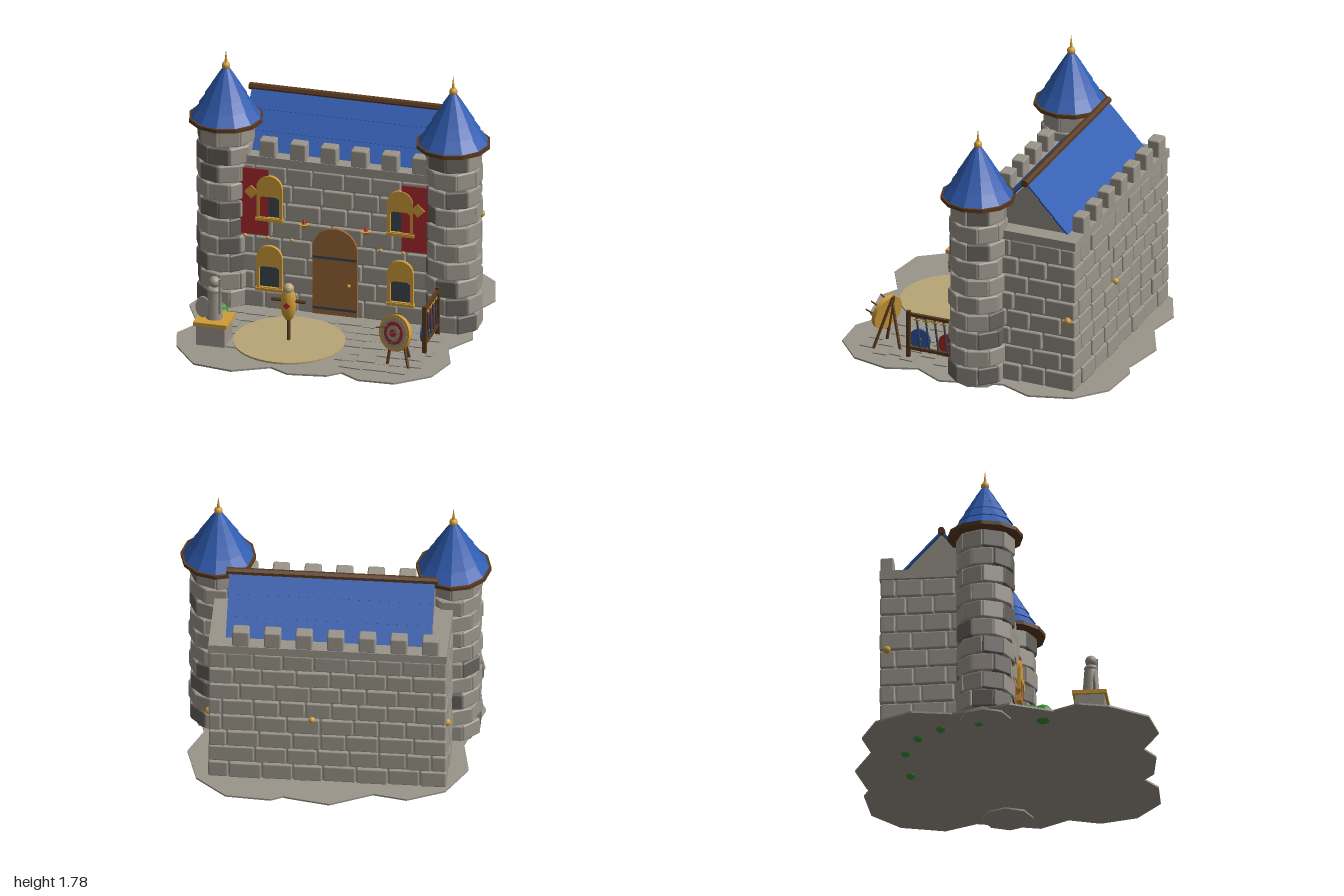
import * as THREE from 'three';
import { mergeGeometries } from 'three/addons/utils/BufferGeometryUtils.js';
import { RoundedBoxGeometry } from 'three/addons/geometries/RoundedBoxGeometry.js';

const mat = (name, color, flatShading = false) => {
  const m = new THREE.MeshStandardMaterial({ color, flatShading });
  m.name = name;
  return m;
};

export function createModel() {
  const stone = mat('stone', 0x9b958b), darkStone = mat('dark stone', 0x66625d);
  const blue = mat('roof blue', 0x2f5cb0, true), timber = mat('dark timber', 0x5a3a1e, true);
  const oak = mat('oak', 0x9c6636), gold = mat('gold', 0xcf9c38), red = mat('red', 0xae2a2d);
  const sand = mat('sand', 0xb8a676), green = mat('leaf green', 0x3c8a36, true), iron = mat('iron', 0x3d464e);

  const root = new THREE.Group();
  root.name = 'castle';
  let seed = 7;
  const rnd = () => (seed = (seed * 16807) % 2147483647) / 2147483647;
  const jit = (a) => (rnd() - 0.5) * 2 * a;

  const add = (name, geo, m, x = 0, y = 0, z = 0, parent = root) => {
    const mesh = new THREE.Mesh(geo, m);
    mesh.name = name;
    mesh.position.set(x, y, z);
    parent.add(mesh);
    return mesh;
  };
  const group = (name, x = 0, y = 0, z = 0) => {
    const g = new THREE.Group();
    g.name = name;
    g.position.set(x, y, z);
    root.add(g);
    return g;
  };
  const box = (w, h, d) => new THREE.BoxGeometry(w, h, d);
  const ball = (r) => new THREE.SphereGeometry(r, 14, 10);
  const rod = (name, a, b, r, m, parent = root) => {
    const p = new THREE.Vector3(...a), q = new THREE.Vector3(...b), d = q.clone().sub(p);
    const mesh = add(name, new THREE.CylinderGeometry(r, r, d.length(), 7), m, 0, 0, 0, parent);
    mesh.position.copy(p).add(q).multiplyScalar(0.5);
    mesh.quaternion.setFromUnitVectors(new THREE.Vector3(0, 1, 0), d.normalize());
    return mesh;
  };
  const extrude = (shape, depth) => new THREE.ExtrudeGeometry(shape, { depth, bevelEnabled: false, curveSegments: 10 });
  const arch = (w, h) => {
    const s = new THREE.Shape();
    s.moveTo(-w / 2, 0).lineTo(w / 2, 0).lineTo(w / 2, h - w / 2);
    s.absarc(0, h - w / 2, w / 2, 0, Math.PI, false);
    return s.lineTo(-w / 2, 0);
  };
  // Chamfered, slightly crooked block turned to face the given angle
  const block = (w, h, d, x, y, z, turn = 0) => new RoundedBoxGeometry(w, h, d, 1, 0.011)
    .rotateZ(jit(0.012)).rotateY(turn + jit(0.015)).translate(x, y, z);

  // Ground slab
  const outline = [[-0.03, -1], [-0.3, -0.87], [-0.52, -0.91], [-0.76, -0.8], [-0.89, -0.56], [-0.84, -0.3],
    [-0.95, 0.08], [-0.82, 0.35], [-0.91, 0.52], [-0.86, 0.71], [-0.68, 0.95], [-0.42, 0.99], [-0.19, 0.87],
    [-0.06, 0.94], [0.19, 0.9], [0.27, 0.83], [0.4, 0.91], [0.64, 0.9], [0.84, 0.73], [0.9, 0.49], [0.83, 0.29],
    [0.94, 0.1], [0.83, -0.3], [0.92, -0.51], [0.84, -0.79], [0.64, -0.96], [0.35, -0.98], [0.27, -0.94], [0.24, -0.95]];
  const slab = new THREE.Shape(outline.map(([x, z]) => new THREE.Vector2(x, -z)));
  add('ground', extrude(slab, 0.012).rotateX(-Math.PI / 2), stone, 0, 0.031, 0);

  // Courtyard paving and training circle
  const paving = [];
  for (let r = 0; r < 7; r++) {
    for (let x = -0.7 + (r % 2) * 0.07; x < 0.68;) {
      const w = 0.13 + rnd() * 0.05, cx = x + w / 2, z = 0.08 + r * 0.105;
      x += w;
      if (Math.hypot(cx + 0.18, z - 0.46) < 0.34 || (r > 5 && cx < 0.2) || cx > 0.7) continue;
      paving.push(box(w - 0.012, 0.014, 0.094).rotateY(jit(0.06)).translate(cx, 0.043, z + jit(0.008)));
    }
  }
  add('paving', mergeGeometries(paving), stone);
  add('sandCircle', new THREE.CylinderGeometry(0.36, 0.36, 0.014, 40), sand, -0.18, 0.048, 0.46);

  // Keep: core, stone courses, cap and battlements
  add('keepCore', box(1.48, 1.01, 0.73), stone, 0, 0.545, -0.385);
  const courses = [], ROW = 0.125;
  const wallRow = (from, to, row, place) => {
    for (let u = from, first = true; u < to - 0.01; first = false) {
      let w = first && row % 2 ? 0.1 : 0.16 + rnd() * 0.07;
      if (to - u - w < 0.08) w = to - u;
      courses.push(place(u + w / 2, w - 0.008, 0.04 + ROW * (row + 0.5), jit(0.004)));
      u += w;
    }
  };
  for (let r = 0; r < 8; r++) {
    const h = ROW - 0.008;
    wallRow(-0.64, 0.64, r, (u, w, y, j) => block(w, h, 0.05, u, y, -0.024 + j));
    wallRow(-0.765, 0.765, r, (u, w, y, j) => block(w, h, 0.05, u, y, -0.745 + j, Math.PI));
    for (const s of [-1, 1])
      wallRow(-0.77, -0.15, r + 1 - 1, (u, w, y, j) => block(w, h, 0.05, s * (0.738 + j), y, u, s * Math.PI / 2));
  }
  add('keepStones', mergeGeometries(courses), stone);
  add('wallCap', box(1.53, 0.06, 0.775), stone, 0, 1.07, -0.387);
  const merlons = [];
  for (let i = 0; i < 7; i++)
    for (const z of [-0.045, -0.73])
      merlons.push(block(0.108, 0.12, 0.085, -0.66 + i * 0.203, 1.155, z));
  add('battlements', mergeGeometries(merlons), stone);

  // Pitched roof in three overlapping courses per slope, with gables and ridge beam
  const slope = Math.atan2(0.32, 0.295);
  for (const s of [-1, 1]) {
    for (let i = 0; i < 3; i++) {
      const t = (i + 0.5) / 3;
      const p = add('roofCourse', box(1.32, 0.012, 0.152), blue, 0, 1.41 - 0.32 * t, -0.385 + s * 0.295 * t);
      p.rotation.x = s * (slope - 0.025);
    }
    const gable = new THREE.Shape([[-0.27, 0], [0.27, 0], [0, 0.29]].map((p) => new THREE.Vector2(...p)));
    add('gable', extrude(gable, 0.04).rotateY(Math.PI / 2), stone, s * 0.63 - 0.02, 1.1, -0.385);
  }
  rod('ridgeBeam', [-0.68, 1.41, -0.385], [0.68, 1.41, -0.385], 0.024, timber);

  // Towers
  for (const s of [-1, 1]) {
    const t = group(s > 0 ? 'leftTower' : 'rightTower', s * 0.755, 0, -0.095);
    add('towerCore', new THREE.CylinderGeometry(0.165, 0.165, 1.27, 8), stone, 0, 0.655, 0, t);
    const light = [], dark = [];
    for (let r = 0; r < 10; r++)
      for (let i = 0; i < 8; i++) {
        const a = (i + (r % 2) / 2) * Math.PI / 4, d = 0.148 + jit(0.005);
        (rnd() < 0.27 ? dark : light).push(
          block(0.143, ROW - 0.007, 0.06, Math.sin(a) * d, 0.04 + ROW * (r + 0.5), Math.cos(a) * d, a));
      }
    add('towerStones', mergeGeometries(light), stone, 0, 0, 0, t);
    add('towerDarkStones', mergeGeometries(dark), darkStone, 0, 0, 0, t);
    add('eaveRing', new THREE.CylinderGeometry(0.243, 0.243, 0.025, 12), timber, 0, 1.308, 0, t);
    const tiers = [[1.32, 0.228, 0.165], [1.395, 0.18, 0.125], [1.465, 0.14, 0.088], [1.53, 0.1, 0.05], [1.59, 0.064, 0.012]];
    for (const [y, low, high] of tiers)
      add('roofTier', new THREE.CylinderGeometry(high, low, 0.08, 12), blue, 0, y + 0.04, 0, t);
    add('finialBall', ball(0.027), gold, 0, 1.67, 0, t);
    add('finialSpike', new THREE.ConeGeometry(0.012, 0.1, 8), gold, 0, 1.732, 0, t);
  }

  // Door with straps and knob
  add('door', extrude(arch(0.295, 0.605), 0.022), oak, 0, 0.055, 0);
  for (const y of [0.1, 0.455]) add('doorStrap', box(0.295, 0.018, 0.006), iron, 0, y, 0.025);
  add('doorKnob', ball(0.012), gold, 0.095, 0.275, 0.03);

  // Windows, banners and wall lamps
  for (const s of [-1, 1]) {
    for (const y of [0.18, 0.67]) {
      const w = group('window', s * 0.435, y, 0);
      const frame = arch(0.17, 0.31);
      frame.holes.push(new THREE.Path([[-0.066, 0.02], [-0.066, 0.15], [-0.045, 0.165], [0.045, 0.165], [0.066, 0.15], [0.066, 0.02]]
        .map((p) => new THREE.Vector2(...p))));
      add('windowFrame', extrude(frame, 0.024), gold, 0, 0, 0.003, w);
      add('windowPane', box(0.15, 0.16, 0.006), iron, 0, 0.09, 0.007, w);
      add('windowSill', box(0.185, 0.02, 0.035), gold, 0, 0.005, 0.017, w);
    }
    add('banner', box(0.195, 0.46, 0.006), red, s * 0.54, 0.79, 0.015);
    add('bannerDiamond', box(0.066, 0.066, 0.008), gold, s * 0.553, 0.86, 0.027).rotation.z = Math.PI / 4;
    add('lampBowl', new THREE.CylinderGeometry(0.036, 0.015, 0.022, 8), gold, s * 0.205, 0.66, 0.015);
    add('lampFlame', new THREE.ConeGeometry(0.018, 0.045, 8), red, s * 0.205, 0.687, 0.015);
    add('sideRosette', new THREE.SphereGeometry(0.025, 8, 6), gold, s * 0.765, 0.54, -0.725);
  }
  for (const x of [-0.6, -0.45, -0.29, -0.13, 0.3, 0.45]) add('wallStud', ball(0.012), gold, x, 0.54, 0.003);
  add('backRosette', ball(0.022), gold, 0.1, 0.54, -0.772);

  // Training dummy
  const dummy = group('trainingDummy', -0.185, 0, 0.46);
  rod('dummyPost', [0, 0.035, 0], [0, 0.39, 0], 0.012, timber, dummy);
  rod('dummyArms', [-0.112, 0.33, 0], [0.112, 0.33, 0], 0.012, timber, dummy);
  add('dummyBody', ball(0.1).scale(0.52, 1.2, 0.46), gold, 0, 0.31, 0, dummy);
  add('dummyHead', ball(0.037), sand, 0, 0.413, 0, dummy);
  add('dummyMark', box(0.033, 0.033, 0.008), red, 0, 0.31, 0.046, dummy).rotation.z = Math.PI / 4;

  // Archery target on a three-legged stand
  const target = group('archeryTarget', 0.57, 0.265, 0.62);
  target.rotation.set(-0.22, -0.38, 0, 'YXZ');
  [[0.12, gold], [0.1, stone], [0.075, red], [0.05, stone], [0.025, red]].forEach(([r, m], i) => {
    const thick = i ? 0.004 : 0.03;
    add('targetRing', new THREE.CylinderGeometry(r, r, thick, 28).rotateX(Math.PI / 2), m, 0, 0, i ? 0.012 + i * 0.004 : 0, target);
  });
  for (const [x, y] of [[0.012, 0.01], [-0.05, 0.035], [0.04, -0.04]])
    rod('arrow', [x, y, 0], [x * 1.3, y, 0.13], 0.005, timber, target);
  rod('standLeg', [0.56, 0.38, 0.575], [0.52, 0.04, 0.64], 0.01, timber);
  rod('standLeg', [0.58, 0.38, 0.575], [0.67, 0.04, 0.67], 0.01, timber);
  rod('standLeg', [0.58, 0.36, 0.58], [0.63, 0.04, 0.5], 0.01, timber);

  // Weapon rack with shields and spears
  for (const z of [0.1, 0.41]) add('rackPost', box(0.026, 0.335, 0.022), timber, 0.705, 0.205, z);
  for (const y of [0.115, 0.35]) add('rackRail', box(0.022, 0.02, 0.33), timber, 0.705, y, 0.255);
  for (const [z, m] of [[0.34, blue], [0.14, red]]) {
    add('rackShield', new THREE.CylinderGeometry(0.073, 0.073, 0.014, 20).rotateZ(Math.PI / 2), m, 0.682, 0.172, z);
    add('shieldBoss', ball(0.017), iron, 0.682, 0.172, z);
  }
  for (let i = 0; i < 4; i++) {
    const z = 0.15 + i * 0.063;
    rod('rackBlade', [0.708, 0.1, z - 0.015], [0.708, 0.34, z + 0.015], 0.007, iron);
    add('bladeGuard', box(0.012, 0.01, 0.04), gold, 0.71, 0.322, z + 0.012);
  }

  // Knight statue on a plinth
  const statue = group('statue', -0.645, 0, 0.575);
  add('plinth', box(0.19, 0.14, 0.19), stone, 0, 0.11, 0, statue);
  add('plinthTop', box(0.225, 0.026, 0.22), gold, 0, 0.193, 0, statue);
  add('statueBody', new THREE.CylinderGeometry(0.042, 0.056, 0.2, 12), stone, 0, 0.305, 0, statue);
  add('statueShoulders', ball(0.045).scale(1.1, 0.6, 1), stone, 0, 0.4, 0, statue);
  add('statueHead', ball(0.038), stone, 0, 0.455, 0, statue);
  add('statueShield', new THREE.CylinderGeometry(0.06, 0.06, 0.016, 16).rotateX(Math.PI / 2).scale(0.8, 1.2, 1), stone, -0.068, 0.285, 0.03, statue);
  add('statueSword', box(0.014, 0.24, 0.012), stone, 0.045, 0.37, 0.035, statue);

  // Bushes and root clumps
  for (const [x, y, z, r] of [[-0.71, 0.085, 0.19, 0.047], [-0.69, 0.075, 0.27, 0.065], [-0.7, 0.04, -0.14, 0.035],
    [-0.63, 0.04, -0.39, 0.035], [-0.5, 0.04, -0.55, 0.035], [-0.28, 0.04, -0.65, 0.035], [0.06, 0.04, -0.65, 0.035]])
    add('bush', new THREE.IcosahedronGeometry(r, 1), green, x, y, z);

  return root;
}
